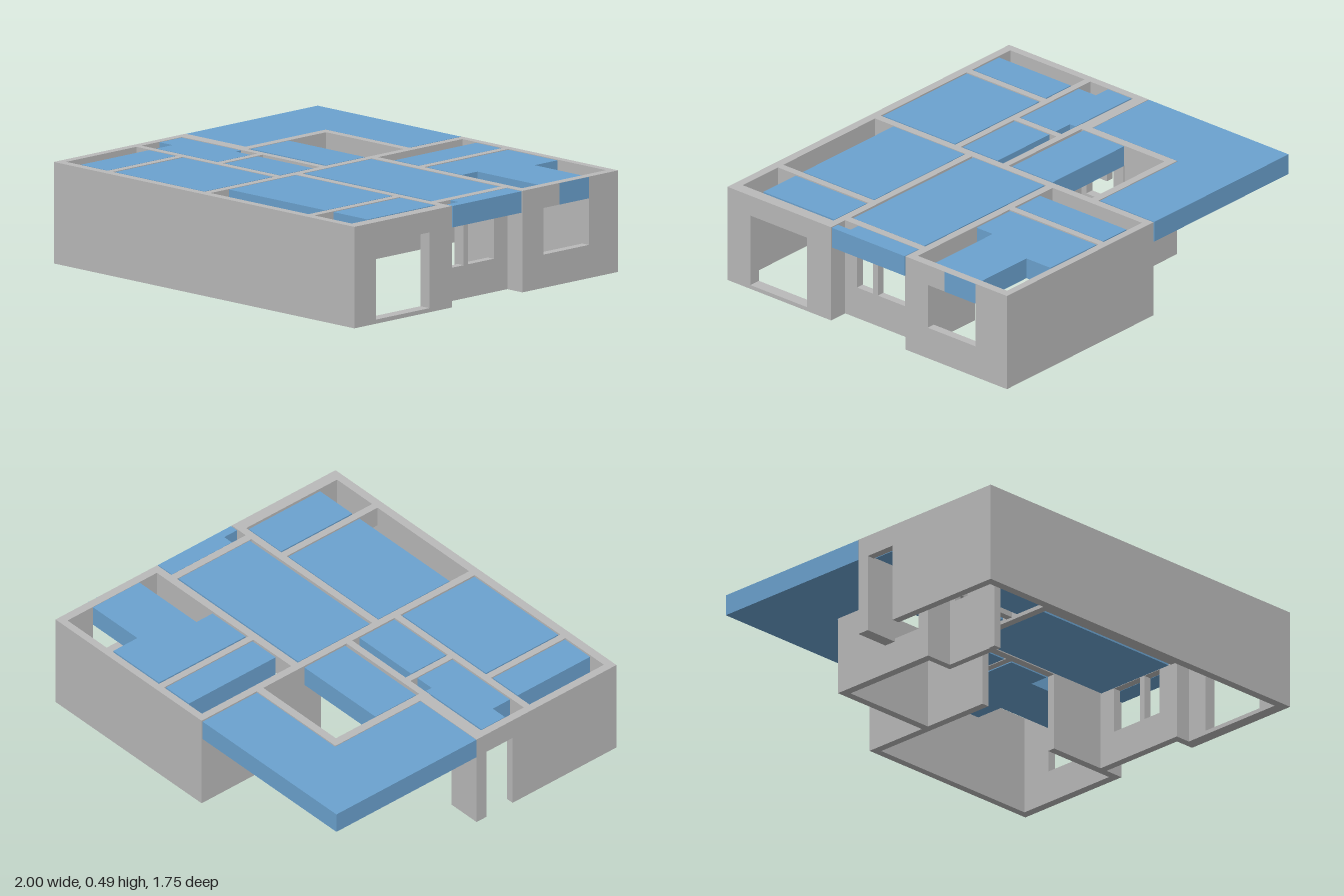
import * as THREE from 'three';

const H = 0.488;      // wall height
const SOFFIT = 0.384; // underside of ceilings and beams

export function createModel() {
  const model = new THREE.Group();
  const grey = new THREE.MeshStandardMaterial({ color: 0xbababa });
  grey.name = 'wall grey';
  const blue = new THREE.MeshStandardMaterial({ color: 0x6ba2cf });
  blue.name = 'ceiling blue';

  const block = (parent, name, mat, x0, x1, y0, y1, z0, z1) => {
    const mesh = new THREE.Mesh(new THREE.BoxGeometry(x1 - x0, y1 - y0, z1 - z0), mat);
    mesh.position.set((x0 + x1) / 2, (y0 + y1) / 2, (z0 + z1) / 2);
    mesh.name = name;
    parent.add(mesh);
  };

  // A wall along x or z; each opening is [start, end, sill, head]
  const wall = (name, x0, x1, z0, z1, openings = []) => {
    const group = new THREE.Group();
    group.name = name;
    model.add(group);
    const alongX = x1 - x0 > z1 - z0;
    const end = alongX ? x1 : z1;
    const piece = (part, a, b, y0, y1) => {
      if (b - a < 0.001 || y1 - y0 < 0.001) return;
      if (alongX) block(group, part, grey, a, b, y0, y1, z0, z1);
      else block(group, part, grey, x0, x1, y0, y1, a, b);
    };
    let at = alongX ? x0 : z0;
    for (const [a, b, sill, head] of openings) {
      piece('pier', at, a, 0, H);
      piece('sill', a, b, 0, sill);
      piece('header', a, b, head, H);
      at = b;
    }
    piece('pier', at, end, 0, H);
  };

  // Outer walls
  wall('frontWall', -1, 1, 0.83, 0.873);
  wall('leftWall', -1, -0.96, 0.06, 0.83, [[0.06, 0.225, 0, SOFFIT]]);
  wall('entranceWall', -1, -0.6, 0, 0.062, [[-0.82, -0.6, 0, SOFFIT]]);
  wall('rearRoomSideWall', -0.6, -0.557, -0.53, 0.065, [[-0.24, 0, 0.16, SOFFIT]]);
  wall('rearRoomBackWall', -0.557, -0.04, -0.53, -0.49);
  wall('backWall', -0.04, 1, -0.875, -0.838);
  wall('backRightWall', 0.957, 1, -0.838, -0.24,
    [[-0.68, -0.485, 0.16, SOFFIT], [-0.485, -0.38, 0.16, SOFFIT]]);
  wall('recessedWall', 0.86, 0.9, -0.24, 0.225,
    [[-0.15, 0.02, 0.16, SOFFIT], [0.05, 0.15, 0.16, SOFFIT]]);
  wall('frontRightWall', 0.94, 1, 0.225, 0.83, [[0.375, 0.73, 0.02, SOFFIT]]);

  // Inner walls, open below a beam where rooms join
  wall('centralWall', -0.04, 0, -0.838, 0.83, [[-0.13, 0.83, 0, 0.37]]);
  wall('backRoomWall', 0, 0.957, -0.28, -0.24, [[0, 0.55, 0, SOFFIT]]);
  wall('middleFrontWall', 0, 0.94, 0.225, 0.263, [[0, 0.86, 0, SOFFIT]]);
  wall('rearRoomFrontWall', -0.557, -0.04, 0.03, 0.065, [[-0.42, -0.04, 0, SOFFIT]]);
  wall('hallWall', -0.455, -0.42, 0.065, 0.33, [[0.1, 0.18, 0.32, SOFFIT]]);
  wall('hallFrontWall', -0.96, -0.04, 0.33, 0.365, [[-0.96, -0.46, 0, SOFFIT], [-0.42, -0.04, 0, SOFFIT]]);
  wall('backRoomBeam', 0.27, 0.306, -0.838, -0.28, [[-0.838, -0.28, 0, SOFFIT]]);
  wall('frontRightBeam', 0.652, 0.69, 0.263, 0.83, [[0.263, 0.83, 0, SOFFIT]]);
  wall('frontLeftBeam', -0.686, -0.65, 0.365, 0.83, [[0.365, 0.83, 0, SOFFIT]]);

  // Ceiling slabs as [x0, x1, z0, z1]
  const slabs = {
    porchRoof: [[-1, -0.047, -0.875, -0.535], [-1, -0.603, -0.535, -0.002]],
    backCeiling: [[0.1, 0.265, -0.83, -0.29], [0.314, 0.55, -0.83, -0.29],
      [0.55, 0.64, -0.83, -0.39], [0.64, 0.956, -0.68, -0.39]],
    middleCeiling: [[0.004, 0.857, -0.232, -0.025], [0.004, 0.857, -0.025, 0.212]],
    rightCanopy: [[0.902, 1, -0.235, 0.14], [0.957, 1, 0.14, 0.22]],
    rearRoomCeiling: [[-0.553, -0.048, -0.24, 0.014]],
    hallCeiling: [[-0.956, -0.56, 0.07, 0.215], [-0.56, -0.46, 0.105, 0.215],
      [-0.87, -0.46, 0.215, 0.322], [-0.414, -0.048, 0.105, 0.322]],
    frontCeiling: [[-0.87, -0.692, 0.372, 0.822], [-0.643, -0.048, 0.372, 0.822],
      [0.004, 0.645, 0.268, 0.712], [0.698, 0.927, 0.268, 0.712]],
  };
  for (const [name, list] of Object.entries(slabs)) {
    const group = new THREE.Group();
    group.name = name;
    model.add(group);
    for (const [x0, x1, z0, z1] of list) block(group, 'slab', blue, x0, x1, SOFFIT, H - 0.001, z0, z1);
  }

  // Blue panel above the back right window
  block(model, 'windowPanel', blue, 0.996, 1.001, SOFFIT, H - 0.001, -0.68, -0.485);

  return model;
}
